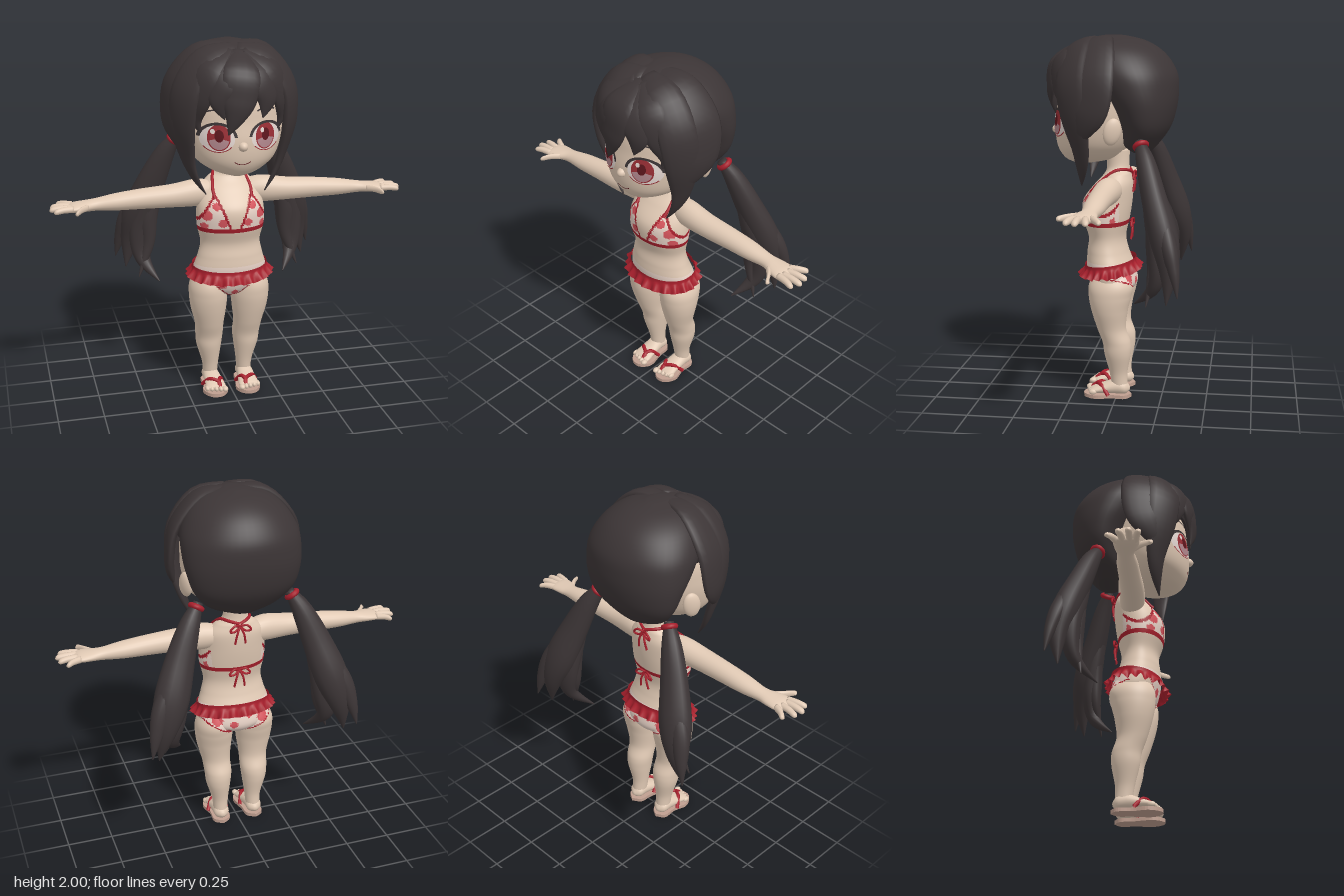
import * as THREE from 'three';

const mat = (name, color) => { const m = new THREE.MeshStandardMaterial({ color }); m.name = name; return m; };
const skin = mat('skin', 0xe0c9b4), hair = mat('hair', 0x3c3536), red = mat('red trim', 0xa81f2c),
  spot = mat('spots', 0xd5545c), cloth = mat('pale cloth', 0xecd6ca), white = mat('eye white', 0xeee0da),
  iris = mat('iris', 0x9c2f36), irisLow = mat('lower iris', 0xb58a90), pupil = mat('pupil', 0x5e161d),
  sole = mat('sandal sole', 0xc09f90);
const V = (x, y, z) => new THREE.Vector3(x, y, z);

// Smooth interpolation through sections [x, y, z, radiusA, radiusB]
function sample(secs, t) {
  const f = Math.min(Math.max(t, 0), 1) * (secs.length - 1), i = Math.min(Math.floor(f), secs.length - 2), u = f - i;
  const p = k => secs[Math.min(Math.max(k, 0), secs.length - 1)];
  return secs[0].map((_, c) => {
    const [a, b, d, e] = [p(i - 1)[c], p(i)[c], p(i + 1)[c], p(i + 2)[c]];
    const v = b + 0.5 * u * (d - a + u * (2 * a - 5 * b + 4 * d - e + u * (3 * (b - d) + e - a)));
    return c > 2 ? Math.max(v, 0.0005) : v;
  });
}

// Closed elliptical loft; frame(T, p) gives the two ring axes, paint(x, y, z) picks a material
function loft(name, secs, frame, mats, n = 20, steps = 24, paint = null) {
  const pos = [], faces = [];
  for (let i = 0; i <= steps; i++) {
    const s = sample(secs, i / steps), a = sample(secs, (i - 0.5) / steps), b = sample(secs, (i + 0.5) / steps);
    const T = V(b[0] - a[0], b[1] - a[1], b[2] - a[2]).normalize(), c = V(s[0], s[1], s[2]);
    const [U, W] = frame(T, c);
    if (U.clone().cross(W).dot(T) < 0) W.negate();
    for (let j = 0; j < n; j++) {
      const q = j / n * Math.PI * 2;
      pos.push(...c.clone().addScaledVector(U, s[3] * Math.cos(q)).addScaledVector(W, s[4] * Math.sin(q)).toArray());
    }
  }
  const end = (steps + 1) * n;
  pos.push(...secs[0].slice(0, 3), ...secs[secs.length - 1].slice(0, 3));
  for (let j = 0; j < n; j++) {
    const k = (j + 1) % n;
    for (let i = 0; i < steps; i++) {
      const a = i * n + j, b = i * n + k;
      faces.push([a, b, a + n], [b, b + n, a + n]);
    }
    faces.push([end, k, j], [end + 1, steps * n + j, steps * n + k]);
  }
  const geo = new THREE.BufferGeometry();
  geo.setAttribute('position', new THREE.Float32BufferAttribute(pos, 3));
  if (paint) {
    const bins = mats.map(() => []);
    faces.forEach(f => {
      const m = [0, 1, 2].map(c => f.reduce((sum, v) => sum + pos[v * 3 + c], 0) / 3);
      bins[paint(...m)].push(...f);
    });
    let start = 0;
    bins.forEach((b, i) => { geo.addGroup(start, b.length, i); start += b.length; });
    geo.setIndex(bins.flat());
  } else geo.setIndex(faces.flat());
  geo.computeVertexNormals();
  const mesh = new THREE.Mesh(geo, mats);
  mesh.name = name;
  return mesh;
}
const upright = () => [V(1, 0, 0), V(0, 0, 1)];
const sideways = () => [V(0, 1, 0), V(0, 0, 1)];
const lengthwise = () => [V(1, 0, 0), V(0, 1, 0)];
const outward = centre => (T, p) => {
  const N = p.clone().sub(centre);
  N.addScaledVector(T, -N.dot(T)).normalize();
  return [N.clone().cross(T), N];
};
const flip = (secs, s) => secs.map(([x, ...r]) => [x * s, ...r]);
// Sections from [y, halfWidth, back z, front z]
const rings = rows => rows.map(([y, rx, b, f]) => [0, y, (b + f) / 2, rx, (f - b) / 2]);

// Depth of an upright loft's surface at x, y
function surfaceZ(secs, x, y, side = 1) {
  let lo = 0, hi = 1;
  for (let i = 0; i < 24; i++) { const m = (lo + hi) / 2; if (sample(secs, m)[1] < y) lo = m; else hi = m; }
  const s = sample(secs, lo);
  return s[2] + side * s[4] * Math.sqrt(Math.max(0, 1 - (x / s[3]) ** 2));
}

const face = rings([[1.305, 0.03, 0.15, 0.24], [1.335, 0.13, 0.02, 0.295], [1.4, 0.215, -0.05, 0.333], [1.5, 0.255, -0.1, 0.345],
  [1.6, 0.268, -0.12, 0.335], [1.72, 0.26, -0.12, 0.32], [1.85, 0.18, -0.08, 0.24]]);
const torso = rings([[0.575, 0.04, 0, 0.08], [0.6, 0.11, -0.07, 0.125], [0.65, 0.2, -0.105, 0.155], [0.74, 0.205, -0.085, 0.175],
  [0.82, 0.182, -0.055, 0.172], [0.9, 0.167, -0.04, 0.165], [1, 0.187, -0.06, 0.195], [1.1, 0.185, -0.075, 0.195],
  [1.19, 0.165, -0.08, 0.13], [1.245, 0.115, -0.07, 0.08], [1.285, 0.07, -0.06, 0.065], [1.38, 0.065, -0.06, 0.07]]);

// Swimwear pattern: 0 skin, 1 trim, 2 cloth, 3 spots
const frontSpots = [[0.15, 1.07, 0.028], [0.07, 1.03, 0.022], [0.1, 1.12, 0.02], [0.16, 1.01, 0.018], [-0.06, 0.665, 0.025], [0.05, 0.69, 0.022], [0.01, 0.61, 0.018]];
const backSpots = [[-0.13, 0.68, 0.03], [0.13, 0.69, 0.03], [0.04, 0.66, 0.022], [-0.05, 0.71, 0.022], [0.07, 0.61, 0.02]];
function swimwear(x, y, z) {
  const ax = Math.abs(x), inSpot = (z > 0 ? frontSpots : backSpots).some(([a, b, r]) => Math.hypot((y > 0.9 ? ax : x) - a, y - b) < r);
  if (y < 0.77) {
    const d = y - (z > 0.02 ? 0.585 + 0.9 * Math.max(0, ax - 0.02) : 0.575 + 0.6 * Math.max(0, ax - 0.02));
    return d < 0 ? 0 : d < 0.007 ? 1 : inSpot ? 3 : 2;
  }
  if (Math.abs(y - 0.985) < 0.013) return 1;
  if (z < -0.02 || y < 0.98) return 0;
  const inner = ax - (0.015 + (y - 0.985) * 0.4), outer = (0.205 - (y - 1.02) * 0.62) - ax;
  if (inner < 0 || outer < 0 || y > 1.17) return 0;
  return inner < 0.014 || outer < 0.012 ? 1 : inSpot ? 3 : 2;
}
const swimMats = [skin, red, cloth, spot];

export function createModel() {
  const root = new THREE.Group();
  root.name = 'figure';
  const add = (geo, m, name, x = 0, y = 0, z = 0, sx = 1, sy = 1, sz = 1) => {
    const mesh = new THREE.Mesh(geo, m);
    mesh.name = name; mesh.position.set(x, y, z); mesh.scale.set(sx, sy, sz);
    root.add(mesh);
    return mesh;
  };
  const put = (...args) => root.add(loft(...args));
  const ball = new THREE.SphereGeometry(1, 20, 14);
  const cord = (name, pts, r) => add(new THREE.TubeGeometry(new THREE.CatmullRomCurve3(pts.map(p => V(...p))), 20, r, 7), red, name);
  // Thin flat detail laid onto the face
  const decal = (name, geo, m, x, y, sx, sy, lift) => {
    geo.scale(sx, sy, 1).translate(x, y, 0);
    const p = geo.attributes.position;
    for (let i = 0; i < p.count; i++) p.setZ(i, surfaceZ(face, p.getX(i), p.getY(i)) + lift);
    geo.computeVertexNormals();
    add(geo, m, name);
  };
  const disc = () => new THREE.RingGeometry(0.001, 1, 32, 5);
  const arc = (inner, a, b) => new THREE.RingGeometry(inner, 1, 24, 2, a, b - a);

  // Head, nose and mouth
  put('head', face, upright, skin, 56, 40);
  add(ball, skin, 'nose', 0, 1.487, 0.335, 0.026, 0.026, 0.034);
  decal('mouth', arc(0.9, Math.PI * 1.2, Math.PI * 1.8), pupil, 0, 1.425, 0.055, 0.035, 0.003);
  put('torso', torso, upright, swimMats, 96, 140, swimwear);

  // Hair masses
  put('backHair', rings([[1.365, 0.07, -0.17, -0.08], [1.41, 0.19, -0.215, -0.03], [1.5, 0.27, -0.28, -0.01], [1.6, 0.305, -0.313, 0.04],
    [1.7, 0.318, -0.325, 0.12], [1.8, 0.308, -0.315, 0.2], [1.9, 0.25, -0.25, 0.23], [1.965, 0.16, -0.15, 0.2], [1.995, 0.04, -0.03, 0.08]]),
  upright, hair, 48, 40);
  put('crownHair', rings([[1.715, 0.27, -0.1, 0.335], [1.78, 0.3, -0.1, 0.345], [1.87, 0.27, -0.1, 0.315], [1.93, 0.19, -0.05, 0.26], [1.965, 0.05, 0.05, 0.16]]),
    upright, hair, 40, 24);
  const aroundHead = outward(V(0, 1.62, 0.02)), lock = (name, secs) => put(name, secs, aroundHead, hair, 14, 24);
  lock('middleBang', [[0.01, 1.95, 0.2, 0.05, 0.02], [-0.01, 1.86, 0.335, 0.1, 0.03], [-0.03, 1.73, 0.365, 0.09, 0.025], [-0.05, 1.64, 0.365, 0.05, 0.018], [-0.08, 1.555, 0.355, 0.003, 0.003]]);

  for (const s of [1, -1]) {
    // Fringe and side locks
    lock('innerBang', flip([[0.02, 1.94, 0.22, 0.05, 0.02], [0.08, 1.85, 0.32, 0.08, 0.03], [0.12, 1.74, 0.345, 0.065, 0.022], [0.1, 1.635, 0.35, 0.003, 0.003]], s));
    lock('outerBang', flip([[0.03, 1.95, 0.2, 0.05, 0.02], [0.15, 1.87, 0.28, 0.08, 0.03], [0.21, 1.74, 0.28, 0.07, 0.025], [0.225, 1.62, 0.25, 0.035, 0.015], [0.2, 1.55, 0.26, 0.003, 0.003]], s));
    lock('sideLock', flip([[0.01, 1.965, 0.16, 0.05, 0.02], [0.16, 1.925, 0.2, 0.09, 0.03], [0.27, 1.77, 0.22, 0.1, 0.03], [0.287, 1.58, 0.2, 0.09, 0.03],
      [0.255, 1.4, 0.17, 0.055, 0.022], [0.215, 1.29, 0.17, 0.03, 0.014], [0.16, 1.2, 0.18, 0.003, 0.003]], s));
    lock('outerLock', flip([[0.01, 1.965, 0.1, 0.06, 0.02], [0.17, 1.945, 0.1, 0.1, 0.03], [0.3, 1.8, 0.1, 0.12, 0.03], [0.33, 1.63, 0.11, 0.11, 0.028],
      [0.31, 1.52, 0.15, 0.065, 0.02], [0.26, 1.41, 0.2, 0.003, 0.003]], s));

    // Pigtails and their ties
    const tail = secs => put('pigtail', flip(secs, s), outward(V(s * 0.3, 0.95, 3)), hair, 16, 28);
    tail([[0.25, 1.45, -0.14, 0.025, 0.025], [0.31, 1.35, -0.18, 0.055, 0.05], [0.38, 1.18, -0.23, 0.08, 0.065], [0.45, 0.98, -0.29, 0.095, 0.075], [0.495, 0.82, -0.32, 0.06, 0.05], [0.53, 0.65, -0.31, 0.003, 0.003]]);
    tail([[0.34, 1.27, -0.19, 0.03, 0.03], [0.39, 1.08, -0.23, 0.06, 0.05], [0.435, 0.88, -0.26, 0.075, 0.05], [0.44, 0.72, -0.24, 0.045, 0.035], [0.365, 0.61, -0.13, 0.003, 0.003]]);
    tail([[0.38, 1.2, -0.24, 0.03, 0.03], [0.5, 0.98, -0.31, 0.05, 0.045], [0.55, 0.83, -0.35, 0.035, 0.03], [0.58, 0.7, -0.37, 0.003, 0.003]]);
    tail([[0.35, 1.2, -0.22, 0.03, 0.03], [0.4, 0.98, -0.23, 0.05, 0.04], [0.41, 0.8, -0.23, 0.035, 0.03], [0.47, 0.62, -0.2, 0.003, 0.003]]);
    const tie = add(new THREE.TorusGeometry(0.03, 0.015, 10, 24), red, 'hairTie', s * 0.265, 1.43, -0.15);
    tie.lookAt(s * 0.34, 1.31, -0.2);

    // Ears and eyes
    add(ball, skin, 'ear', s * 0.275, 1.5, 0, 0.025, 0.072, 0.048).rotation.set(-0.2, s * 0.4, 0);
    const ex = s * 0.128;
    decal('eyeWhite', disc(), white, ex, 1.53, 0.085, 0.068, 0.003);
    decal('iris', disc(), iris, ex - s * 0.006, 1.535, 0.056, 0.068, 0.0045);
    decal('lowerIris', arc(0.35, Math.PI * 1.08, Math.PI * 1.92), irisLow, ex - s * 0.006, 1.535, 0.05, 0.062, 0.006);
    decal('pupil', disc(), pupil, ex - s * 0.006, 1.545, 0.022, 0.032, 0.007);
    decal('eyeGlint', disc(), white, ex - 0.025, 1.568, 0.011, 0.013, 0.008);
    decal('upperLash', arc(0.84, 0.1, Math.PI - 0.1), hair, ex, 1.53, 0.098, 0.084, 0.0075);
    decal('lowerLash', arc(0.94, Math.PI * 1.2, Math.PI * 1.8), iris, ex, 1.53, 0.085, 0.072, 0.005);
    decal('brow', arc(0.9, 1, Math.PI - 1), hair, ex, 1.61, 0.1, 0.07, 0.004);

    // Arms, hands and fingers
    put('arm', flip([[0.08, 1.17, 0.02, 0.055, 0.06], [0.18, 1.172, 0.035, 0.074, 0.068], [0.32, 1.165, 0.045, 0.063, 0.064], [0.48, 1.16, 0.045, 0.055, 0.058],
      [0.62, 1.153, 0.045, 0.046, 0.054], [0.73, 1.147, 0.047, 0.033, 0.043], [0.79, 1.145, 0.055, 0.028, 0.058], [0.85, 1.143, 0.06, 0.023, 0.065], [0.885, 1.142, 0.06, 0.01, 0.05]], s), sideways, skin, 24, 32);
    [[0.85, 0.015, 0.935, -0.025], [0.86, 0.045, 0.968, 0.03], [0.86, 0.08, 0.975, 0.08], [0.85, 0.105, 0.955, 0.125], [0.77, 0.085, 0.85, 0.175]].forEach(([x0, z0, x1, z1], i) => {
      const xm = (x0 + x1) / 2, zm = (z0 + z1) / 2;
      put(i < 4 ? 'finger' : 'thumb', flip([[x0, 1.145, z0, 0.018, 0.019], [xm, 1.147, zm, 0.017, 0.018], [x1 - 0.012, 1.142, z1, 0.014, 0.015], [x1, 1.138, z1, 0.002, 0.002]], s), sideways, skin, 12, 12);
    });

    // Legs
    put('leg', flip([[0.1, 0.05, -0.02, 0.04, 0.045], [0.1, 0.14, -0.012, 0.047, 0.05], [0.108, 0.25, -0.008, 0.07, 0.073], [0.108, 0.32, -0.002, 0.078, 0.078], [0.112, 0.4, 0.025, 0.082, 0.08],
      [0.118, 0.5, 0.035, 0.1, 0.1], [0.12, 0.58, 0.033, 0.107, 0.117], [0.122, 0.65, 0.028, 0.097, 0.12], [0.11, 0.74, 0.03, 0.06, 0.08]], s), upright, swimMats, 48, 90, swimwear);

    // Feet and sandals
    put('foot', flip([[0.1, 0.05, -0.075, 0.01, 0.01], [0.1, 0.055, -0.05, 0.042, 0.036], [0.1, 0.06, 0, 0.046, 0.042], [0.097, 0.048, 0.07, 0.052, 0.03], [0.096, 0.038, 0.125, 0.058, 0.02], [0.096, 0.035, 0.145, 0.05, 0.012]], s), lengthwise, skin, 20, 20);
    for (let i = 0; i < 5; i++) add(ball, skin, 'toe', s * (0.05 + i * 0.0245), 0.034, 0.155 - i * 0.007, i ? 0.0125 : 0.017, 0.015, 0.021);
    const outline = new THREE.Shape(new THREE.SplineCurve([[0.1, -0.085], [0.148, -0.05], [0.147, 0.03], [0.166, 0.11], [0.13, 0.173], [0.07, 0.178], [0.026, 0.12], [0.045, 0.02], [0.052, -0.05], [0.1, -0.085]]
      .map(([x, z]) => new THREE.Vector2(x * s, -z))).getPoints(48));
    const slab = new THREE.ExtrudeGeometry(outline, { depth: 0.02, bevelEnabled: false });
    add(slab.rotateX(-Math.PI / 2), sole, 'sandalSole');
    for (const [x, z] of [[0.158, 0.04], [0.04, 0.04]])
      cord('sandalStrap', [[s * 0.075, 0.03, 0.15], [s * 0.078, 0.062, 0.115], [s * (x + 0.086) / 2, 0.07, 0.085], [s * x, 0.022, z]], 0.011);

    // Halter strap and ties at the back
    const strap = [[0.1, 1.155], [0.105, 1.2], [0.098, 1.235]].map(([x, y]) => [s * x, y, surfaceZ(torso, x, y) + 0.003]);
    cord('halterStrap', [...strap, [s * 0.083, 1.272, 0.005], [s * 0.055, 1.275, -0.045], [0, 1.26, -0.072]], 0.009);
    for (const y of [1.25, 0.985]) {
      const z = surfaceZ(torso, 0, y, -1) - 0.008;
      cord('bowLoop', [[0, y, z], [s * 0.035, y + 0.008, z - 0.012], [s * 0.06, y - 0.022, z - 0.012], [s * 0.03, y - 0.025, z - 0.008], [0, y, z]], 0.006);
      cord('bowTail', [[0, y, z], [s * 0.018, y - 0.04, z - 0.012], [s * 0.03, y - 0.1, z - 0.006]], 0.006);
    }
  }

  // Waistband and wavy frill, slightly higher at the back
  const frill = new THREE.CylinderGeometry(1, 1, 1, 160, 8, true), p = frill.attributes.position;
  for (let i = 0; i < p.count; i++) {
    const a = Math.atan2(p.getZ(i), p.getX(i)), d = 0.5 - p.getY(i), wave = Math.sin(a * 22) + 0.4 * Math.sin(a * 9);
    const flare = d < 0.3 ? 0.008 : 0.008 + (d - 0.3) * (0.042 + 0.016 * wave);
    p.setXYZ(i, Math.cos(a) * (0.203 + flare), 0.765 - d * 0.066 - 0.02 * Math.sin(a) + (d > 0.3 ? 0.008 * d * wave : 0), 0.045 + Math.sin(a) * (0.133 + flare));
  }
  frill.computeVertexNormals();
  const frillRed = red;
  frillRed.side = THREE.DoubleSide;
  add(frill, frillRed, 'waistFrill');
  return root;
}
